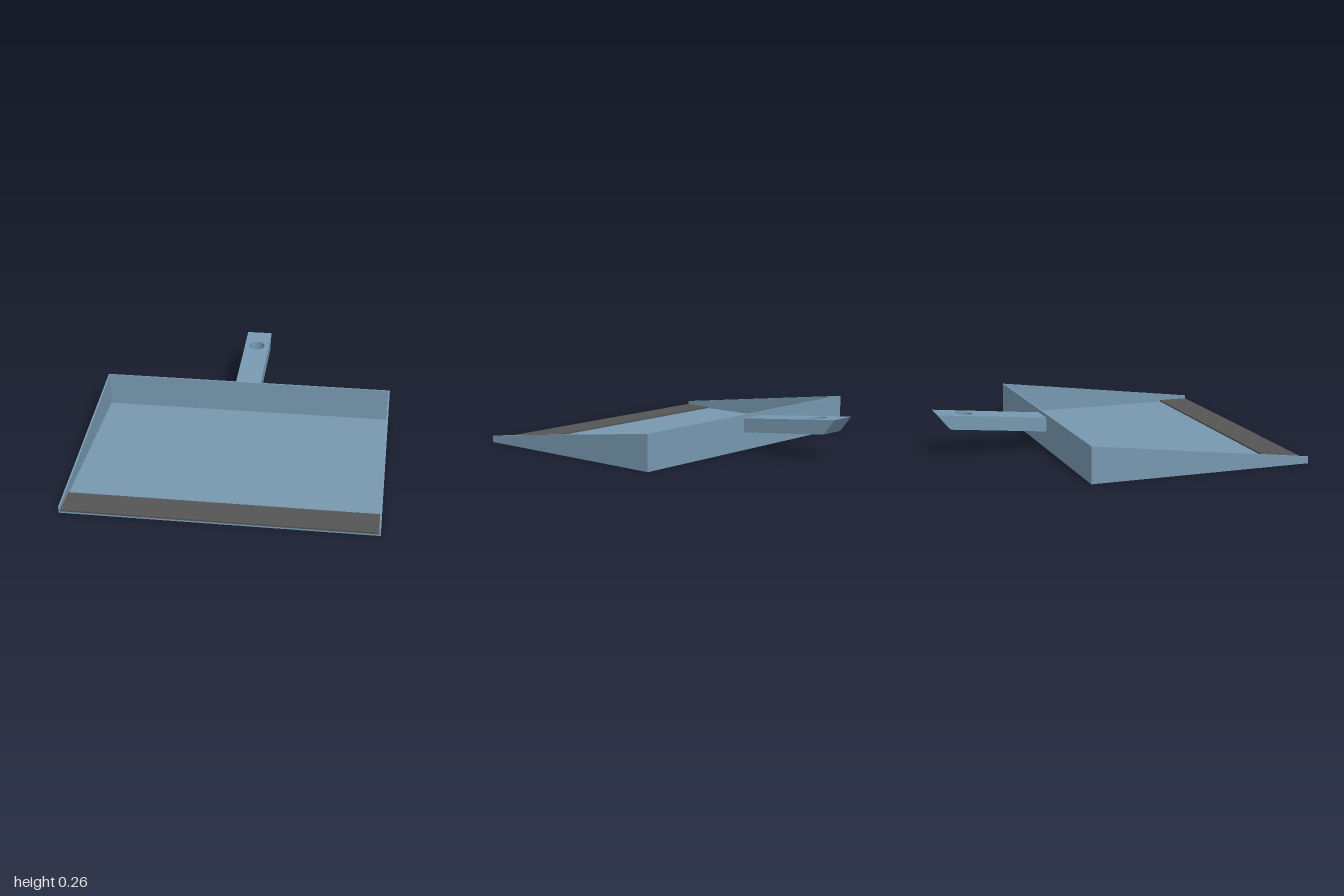
import * as THREE from 'three';
import { toCreasedNormals } from 'three/addons/utils/BufferGeometryUtils.js';

const W = 0.905, BACK = -0.335, FRONT = 1, T = 0.01;
const blue = new THREE.MeshStandardMaterial({ color: 0x7798b0 });
const dark = new THREE.MeshStandardMaterial({ color: 0x555555 });

export function createModel() {
  const model = new THREE.Group();
  const add = (name, geometry, material = blue) => {
    const mesh = new THREE.Mesh(geometry, material);
    mesh.name = name;
    model.add(mesh);
    return mesh;
  };
  const box = (name, w, h, d, x, y, z, material) =>
    add(name, new THREE.BoxGeometry(w, h, d), material).position.set(x, y, z);

  // Tray floor and back wall
  box('floor', 2 * (W - T), T, FRONT - BACK, 0, T / 2, (FRONT + BACK) / 2);
  box('backWall', 2 * (W - T), 0.215 - T, T, 0, (0.215 + T) / 2, BACK + T / 2);

  // Rubber lip lying on the front of the floor
  box('frontLip', 2 * (W - T), T, 0.19, 0, 1.5 * T, FRONT - 0.095, dark);

  // Tapered side walls; the profile is drawn in (-z, y) and turned to face x
  const profile = new THREE.Shape([
    [-FRONT, 0], [-BACK, 0], [-BACK, 0.215], [-FRONT, 0.04],
  ].map(([a, b]) => new THREE.Vector2(a, b)));
  for (const [name, x] of [['leftWall', W - T], ['rightWall', -W]]) {
    const wall = new THREE.ExtrudeGeometry(profile, { depth: T, bevelEnabled: false });
    wall.rotateY(Math.PI / 2).translate(x, 0, 0);
    add(name, wall);
  }

  // Handle: flat outline with hanging hole, drawn in (x, -z)
  const outline = new THREE.Shape([
    [-0.08, -BACK], [0.08, -BACK], [0.08, 1], [-0.08, 1],
  ].map(([a, b]) => new THREE.Vector2(a, b)));
  outline.holes.push(new THREE.Path().absarc(0, 0.825, 0.052, 0, Math.PI * 2, true));
  const handle = new THREE.ExtrudeGeometry(outline, {
    depth: 0.085, bevelEnabled: false, curveSegments: 32,
  });
  handle.rotateX(-Math.PI / 2);

  // Raise the handle towards its end and undercut the tip
  const p = handle.attributes.position;
  for (let i = 0; i < p.count; i++) {
    const bottom = p.getY(i) < 0.04;
    if (bottom && p.getZ(i) < -0.99) p.setZ(i, -0.925);
    p.setY(i, p.getY(i) + 0.109 + 0.099 * (BACK - p.getZ(i)));
  }
  add('handle', toCreasedNormals(handle, 0.5));

  return model;
}
